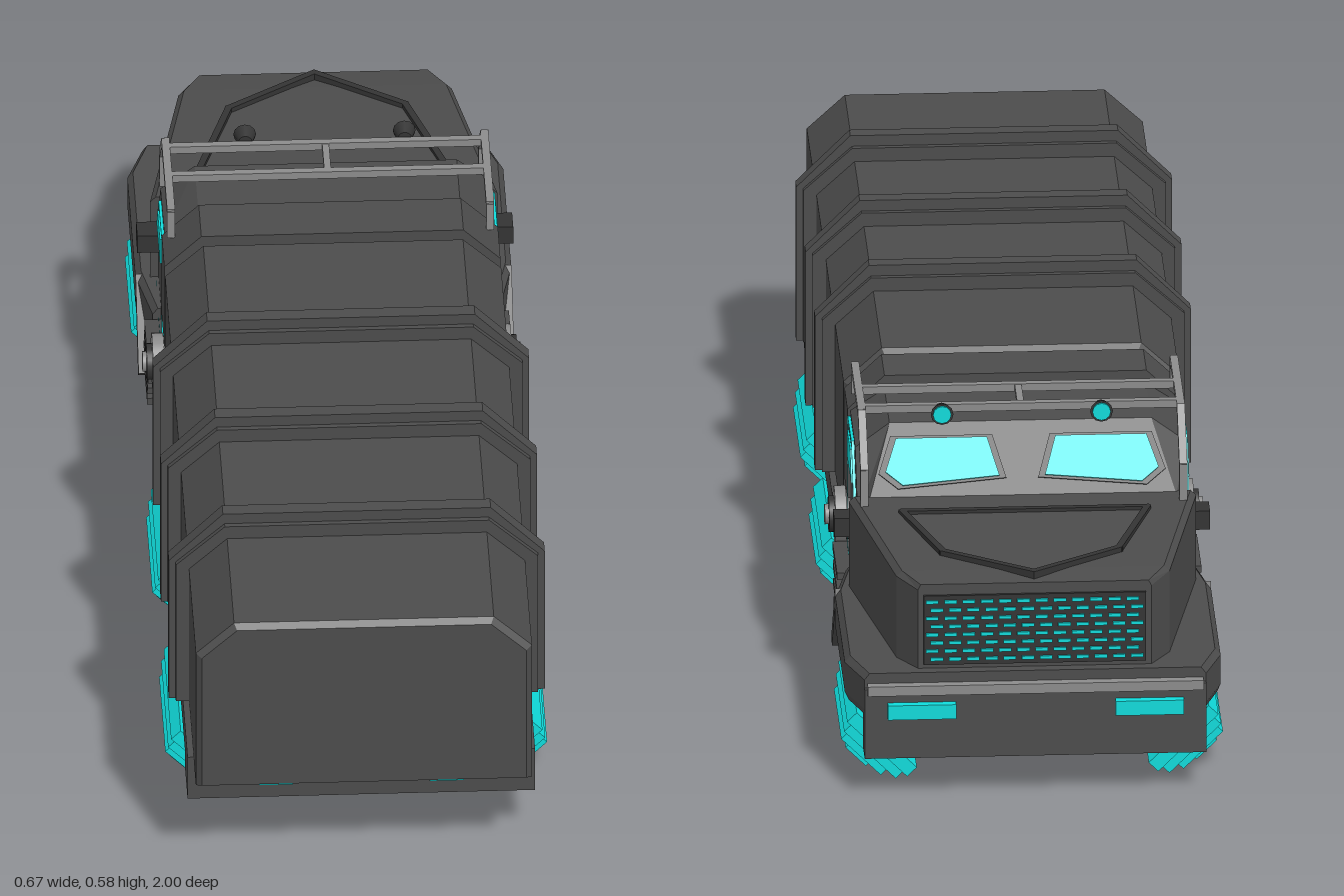
import * as THREE from 'three';

const mat = (name, color) => { const m = new THREE.MeshStandardMaterial({ color }); m.name = name; return m; };

export function createModel() {
  const body = mat('armour grey', 0x4c4c4c);
  const dark = mat('dark trim', 0x343434);
  const glow = mat('glow cyan', 0x10dcdc);
  const steel = mat('light steel', 0x8c8c8c);
  const root = new THREE.Group();
  root.name = 'hoverTruck';

  const add = (name, geo, material, parent = root) => {
    const m = new THREE.Mesh(geo, material);
    m.name = name;
    parent.add(m);
    return m;
  };
  // Box given by its limits
  const box = (name, material, x0, x1, y0, y1, z0, z1, parent) => {
    const m = add(name, new THREE.BoxGeometry(x1 - x0, y1 - y0, z1 - z0), material, parent);
    m.position.set((x0 + x1) / 2, (y0 + y1) / 2, (z0 + z1) / 2);
    return m;
  };
  // Square bar between two points
  const bar = (name, material, a, b, w, h = w) => {
    const p = new THREE.Vector3(...a), q = new THREE.Vector3(...b);
    const m = add(name, new THREE.BoxGeometry(w, h, p.distanceTo(q) + h * 0.5), material);
    m.position.copy(p).add(q).multiplyScalar(0.5);
    m.lookAt(q);
    return m;
  };
  // Flat-faced skin through convex rings, closed at both ends
  const loft = (rings) => {
    const v = [], n = rings[0].length, last = rings[rings.length - 1];
    const tri = (a, b, c) => v.push(...a, ...b, ...c);
    for (let i = 0; i < rings.length - 1; i++) for (let j = 0; j < n; j++) {
      const k = (j + 1) % n, r = rings[i], s = rings[i + 1];
      tri(r[j], r[k], s[k]);
      tri(r[j], s[k], s[j]);
    }
    for (let j = 1; j < n - 1; j++) {
      tri(rings[0][0], rings[0][j + 1], rings[0][j]);
      tri(last[0], last[j], last[j + 1]);
    }
    const g = new THREE.BufferGeometry();
    g.setAttribute('position', new THREE.Float32BufferAttribute(v, 3));
    g.computeVertexNormals();
    return g;
  };
  // Section with chamfered shoulders, and rectangle lying flat at height y
  const section = (z, hx, y0, yShoulder, topX, yTop) => [
    [hx, y0, z], [hx, yShoulder, z], [topX, yTop, z], [-topX, yTop, z], [-hx, yShoulder, z], [-hx, y0, z]];
  const flat = (y, hx, za, zb) => [[hx, y, zb], [hx, y, za], [-hx, y, za], [-hx, y, zb]];

  // Cargo container with softened ends
  add('cargoContainer', loft([
    section(-0.21, 0.285, 0.205, 0.473, 0.223, 0.53), section(-0.2, 0.295, 0.2, 0.478, 0.228, 0.54),
    section(0.99, 0.295, 0.2, 0.478, 0.228, 0.54), section(1.0, 0.285, 0.205, 0.473, 0.223, 0.53)]), body);
  // Container ribs, a broad base with a narrower crown
  for (const z of [0.7, 0.395, 0.09]) {
    add('ribBase', loft([-0.024, 0.024].map((d) => section(z + d, 0.318, 0.2, 0.487, 0.232, 0.565))), body);
    add('ribCrown', loft([-0.014, 0.014].map((d) => section(z + d, 0.33, 0.2, 0.49, 0.235, 0.585))), body);
  }

  // Chassis, rear bumper and belly
  box('chassis', body, -0.305, 0.305, 0.14, 0.192, -0.3, 0.89);
  box('rearBumper', body, -0.305, 0.305, 0.105, 0.16, 0.8, 0.89);
  add('belly', loft([flat(0.065, 0.23, -0.15, 0.72), flat(0.145, 0.3, -0.23, 0.8)]), body);
  box('tankShelf', body, -0.3, 0.3, 0.105, 0.205, -0.34, -0.23);
  box('midFrame', body, -0.26, 0.26, 0.11, 0.23, -0.62, -0.3);
  add('frontBelly', loft([flat(0.075, 0.23, -0.88, -0.66), flat(0.16, 0.28, -0.94, -0.58)]), body);
  for (const s of [-1, 1]) box('tailLight', glow, s * 0.15 - 0.03, s * 0.15 + 0.03, 0.132, 0.159, 0.886, 0.894);

  // Cab and bulkhead behind it
  add('cab', loft([section(-0.57, 0.29, 0.2, 0.37, 0.27, 0.4),
    section(-0.49, 0.29, 0.2, 0.47, 0.23, 0.515), section(-0.33, 0.29, 0.2, 0.475, 0.23, 0.515)]), body);
  add('cabBulkhead', loft([section(-0.33, 0.295, 0.31, 0.478, 0.23, 0.54),
    section(-0.23, 0.295, 0.31, 0.478, 0.23, 0.54)]), body);
  // Hood with raised trim line
  add('hood', loft([section(-0.955, 0.205, 0.225, 0.385, 0.2, 0.395), section(-0.9, 0.24, 0.225, 0.39, 0.23, 0.4),
    section(-0.56, 0.305, 0.225, 0.395, 0.295, 0.405)]), body);
  const trim = [[-0.215, -0.64], [-0.155, -0.83], [0, -0.935], [0.155, -0.83], [0.215, -0.64]];
  trim.forEach(([x, z], i) => {
    const [x2, z2] = trim[(i + 1) % trim.length];
    bar('hoodTrim', dark, [x, 0.403, z], [x2, 0.403, z2], 0.012, 0.014);
  });
  // Grille with glowing slots
  box('grille', dark, -0.195, 0.195, 0.245, 0.375, -0.96, -0.95);
  for (let r = 0; r < 8; r++) for (let c = 0; c < 12; c++) {
    const x = -0.176 + c * 0.032 + (r % 2 ? 0.004 : -0.004), y = 0.256 + r * 0.0154;
    box('grilleSlot', glow, x - 0.011, x + 0.011, y - 0.003, y + 0.003, -0.963, -0.959);
  }

  // Fender deck and front bumper
  const deck = (y, k) => [[0.305 * k, y, -0.46], [0.33 * k, y, -0.58], [0.33 * k, y, -0.89], [0.3 * k, y, -0.975],
    [-0.3 * k, y, -0.975], [-0.33 * k, y, -0.89], [-0.33 * k, y, -0.58], [-0.305 * k, y, -0.46]];
  add('fenderDeck', loft([deck(0.155, 0.98), deck(0.17, 1), deck(0.225, 1), deck(0.237, 0.97)]), body);
  box('frontBumper', body, -0.3, 0.3, 0.08, 0.21, -0.985, -0.935);
  box('bumperRail', steel, -0.295, 0.295, 0.2, 0.218, -0.992, -0.97);

  // Windshield pane, lying on the sloped cab front
  const polygon = (pts) => new THREE.Shape(pts.map((p) => new THREE.Vector2(...p)));
  const plate = (shape, depth) => new THREE.ExtrudeGeometry(shape, { depth, bevelEnabled: false });
  const pane = [[0.04, 0.04], [0.21, 0.025], [0.24, 0.05], [0.22, 0.11], [0.06, 0.11]];
  const doorOutline = [[-0.337, 0.22], [-0.5, 0.22], [-0.535, 0.255], [-0.535, 0.365], [-0.455, 0.468], [-0.337, 0.468]];
  const shrink = (pts, cx, cy, k) => pts.map(([x, y]) => [cx + (x - cx) * k, cy + (y - cy) * k]);

  for (const s of [-1, 1]) {
    box('headlight', glow, s * 0.2 - 0.06, s * 0.2 + 0.06, 0.158, 0.185, -1.0, -0.984);
    const slope = new THREE.Group();
    slope.name = 'windshield';
    slope.position.set(0, 0.4, -0.57);
    slope.rotation.x = Math.atan2(0.08, 0.115);
    root.add(slope);
    const flip = (pts) => pts.map(([x, y]) => [x * s, y]);
    add('windshieldFrame', plate(polygon(flip(shrink(pane, 0.14, 0.07, 1.12))), 0.008), dark, slope).position.z = -0.004;
    add('windshieldPane', plate(polygon(flip(pane)), 0.006), glow, slope).position.z = -0.008;

    // Door seam, door window and mirror
    const onSide = (name, shape, material, out) => {
      const m = add(name, plate(shape, 0.006), material);
      m.rotation.y = -Math.PI / 2;
      m.position.x = s > 0 ? out : -out + 0.006;
    };
    const seam = polygon(doorOutline);
    seam.holes.push(polygon(shrink(doorOutline, -0.43, 0.34, 0.94)));
    onSide('doorSeam', seam, glow, 0.295);
    const win = [[-0.358, 0.45], [-0.45, 0.45], [-0.485, 0.4], [-0.358, 0.4]];
    onSide('doorWindowFrame', polygon(shrink(win, -0.41, 0.425, 1.15)), dark, 0.294);
    onSide('doorWindow', polygon(win), glow, 0.297);
    box('mirror', dark, s * 0.31 - 0.02, s * 0.31 + 0.02, 0.325, 0.36, -0.55, -0.505);

    // Boarding steps and their guard
    for (let i = 0; i < 4; i++) {
      const z = -0.42 + i * 0.012, y = 0.115 + i * 0.03;
      box('step', body, s * 0.29 - 0.03, s * 0.29 + 0.03, y, y + 0.013, z - 0.07, z + 0.08);
    }
    bar('stepGuard', body, [s * 0.305, 0.225, -0.575], [s * 0.305, 0.1, -0.468], 0.05, 0.022);

    // Tank end caps
    for (const [name, r, x, m] of [['tankCap', 0.05, 0.305, steel], ['tankRing', 0.032, 0.315, dark], ['tankValve', 0.018, 0.322, steel]]) {
      const c = add(name, new THREE.CylinderGeometry(r, r, 0.02, 20), m);
      c.rotation.z = Math.PI / 2;
      c.position.set(s * x, 0.255, -0.267);
    }

    // Roof rack side rails and lamps
    const rail = [[0.5, -0.3], [0.547, -0.3], [0.547, -0.52], [0.47, -0.6], [0.4, -0.6]];
    for (let i = 0; i < rail.length - 1; i++) bar('rackRail', steel, [s * 0.28, ...rail[i]], [s * 0.28, ...rail[i + 1]], 0.014);
    const lamp = add('roofLamp', new THREE.CylinderGeometry(0.02, 0.012, 0.025, 12), dark);
    lamp.rotation.x = -Math.PI / 2;
    lamp.position.set(s * 0.14, 0.548, -0.525);
    const lens = add('lampLens', new THREE.CylinderGeometry(0.016, 0.016, 0.005, 12), glow);
    lens.rotation.x = Math.PI / 2;
    lens.position.set(s * 0.14, 0.548, -0.539);
  }
  const tank = add('tank', new THREE.CylinderGeometry(0.045, 0.045, 0.6, 20), body);
  tank.rotation.z = Math.PI / 2;
  tank.position.set(0, 0.255, -0.267);
  for (const z of [-0.41, -0.5]) bar('rackCrossbar', steel, [-0.28, 0.547, z], [0.28, 0.547, z], 0.014);
  bar('rackSpine', steel, [0, 0.547, -0.41], [0, 0.547, -0.5], 0.012);

  // Hover pads: stacked slabs tilted outward, with glowing edges and dark outer faces
  const padSkin = [glow, glow, glow, dark, glow, glow];
  const layers = [[0.162, 0.311, 0.126, 0.15, 0.142], [0.172, 0.3, 0.15, 0.168, 0.136],
    [0.19, 0.288, 0.168, 0.186, 0.118], [0.212, 0.262, 0.186, 0.199, 0.09]];
  for (const z of [0.573, 0.07, -0.752]) for (const turn of [0, Math.PI]) {
    const side = new THREE.Group(), pad = new THREE.Group();
    side.name = 'hoverPad';
    pad.name = 'padLayers';
    side.position.z = z;
    side.rotation.y = turn;
    pad.rotation.z = Math.PI / 4;
    side.add(pad);
    root.add(side);
    for (const [a, b, d0, d1, hz] of layers) box('padLayer', padSkin, a, b, -d1, -d0, -hz, hz, pad);
    box('padStrip', glow, 0.234, 0.24, -0.201, -0.198, -0.07, 0.07, pad);
  }
  return root;
}
